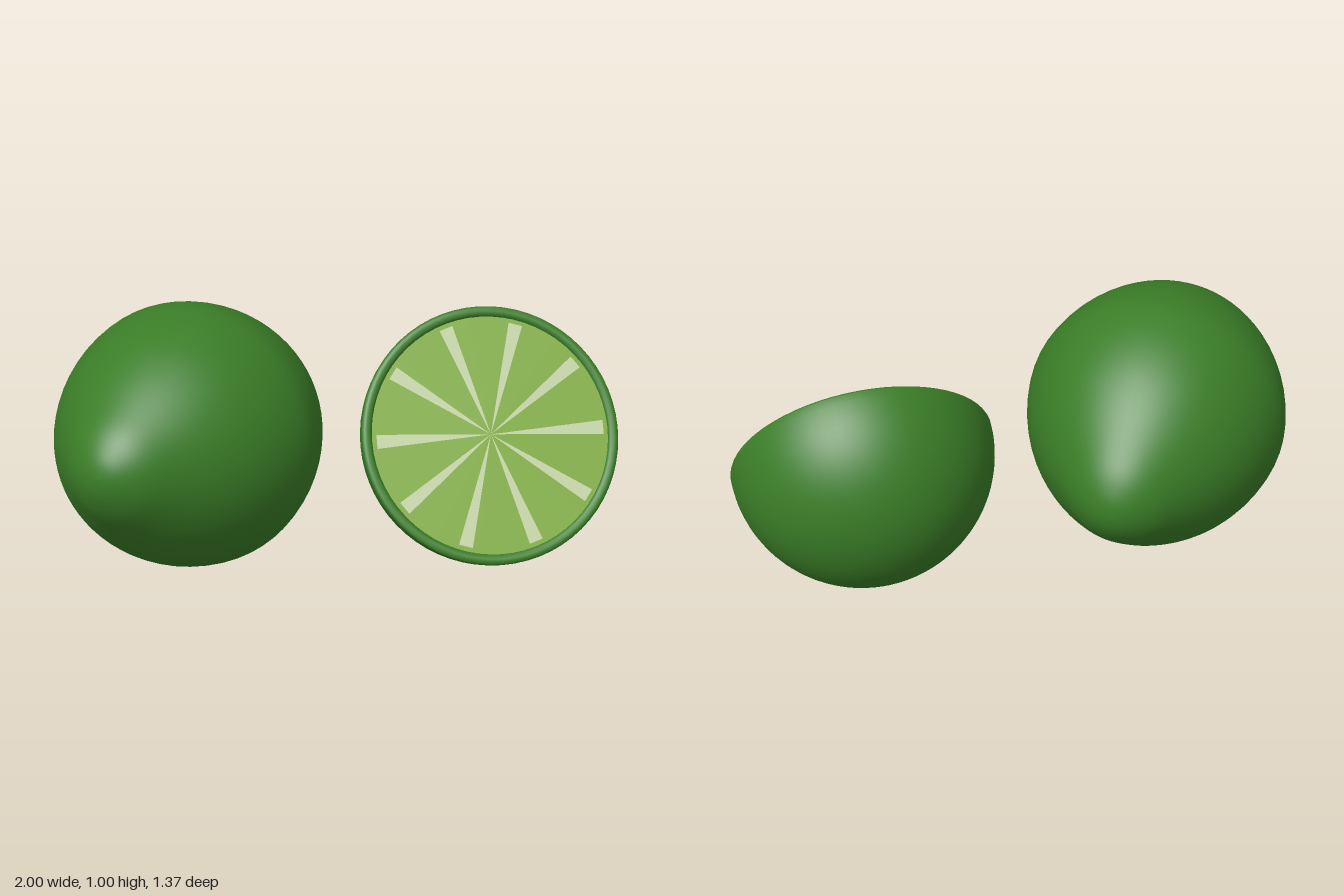
import * as THREE from 'three';

const material = (name, color, side = THREE.FrontSide) => {
  const m = new THREE.MeshStandardMaterial({ color, side });
  m.name = name;
  return m;
};

const mesh = (name, geometry, mat) => {
  const m = new THREE.Mesh(geometry, mat);
  m.name = name;
  return m;
};

const vectors = (pairs) => pairs.map(([x, y]) => new THREE.Vector2(x, y));

export function createModel() {
  const rind = material('rind green', 0x3a7d27);
  const pulp = material('pulp green', 0x7aa832);
  const pith = material('pale pith', 0xc0d0a2);
  const model = new THREE.Group();
  model.name = 'limes';

  // Whole lime: a lathed body with blunt tips, mirrored about its middle
  const half = [[0.483, 0], [0.469, 0.1], [0.437, 0.2], [0.387, 0.3], [0.316, 0.4],
    [0.227, 0.5], [0.158, 0.57], [0.1, 0.61], [0.05, 0.632], [0, 0.64]];
  const lower = half.slice(1).reverse().map(([r, t]) => [r, -t]);
  const profile = new THREE.SplineCurve(vectors([...lower, ...half])).getPoints(64);
  profile.forEach((p) => { p.x = Math.max(p.x, 0); });
  const wholeLime = mesh('wholeLime', new THREE.LatheGeometry(profile, 64), rind);
  wholeLime.position.set(-0.425, 0.518, -0.195);
  wholeLime.quaternion.setFromUnitVectors(
    new THREE.Vector3(0, 1, 0),
    new THREE.Vector3(0.555, -0.07, -0.305).normalize(),
  );
  model.add(wholeLime);

  // Half lime: local y points out of the cut face
  const R = 0.48;
  const halfLime = new THREE.Group();
  halfLime.name = 'halfLime';
  const normal = new THREE.Vector3(-0.41, 0.5, 0.76).normalize();
  const across = new THREE.Vector3(0.374, 0.005, 0.198);
  across.addScaledVector(normal, -across.dot(normal)).normalize();
  const third = new THREE.Vector3().crossVectors(across, normal);
  halfLime.quaternion.setFromRotationMatrix(new THREE.Matrix4().makeBasis(across, normal, third));
  halfLime.position.set(0.515, R, 0.38);

  // Rind bowl with a rounded lip
  const bowl = [];
  for (let i = 0; i <= 28; i++) {
    const a = (i / 28) * Math.PI / 2;
    bowl.push([R * Math.sin(a), -R * Math.cos(a)]);
  }
  bowl.push([0.477, 0.007], [0.469, 0.012], [0.459, 0.013], [0.449, 0.01], [0.442, 0.003], [0.439, -0.008]);
  halfLime.add(mesh('halfRind', new THREE.LatheGeometry(vectors(bowl), 64), rind));

  // Cut face
  const face = mesh('pulpFace', new THREE.CircleGeometry(0.441, 64).rotateX(-Math.PI / 2), pulp);
  halfLime.add(face);

  // Ten tapering membranes between the segments
  const wedge = new THREE.Shape(vectors([[0, 0], [0.424, -0.026], [0.424, 0.026]]));
  const wedgeGeometry = new THREE.ShapeGeometry(wedge).rotateX(-Math.PI / 2);
  for (let i = 0; i < 10; i++) {
    const membrane = mesh('membrane', wedgeGeometry, pith);
    membrane.rotation.y = (i * Math.PI) / 5;
    membrane.position.y = 0.004;
    halfLime.add(membrane);
  }
  model.add(halfLime);
  return model;
}
